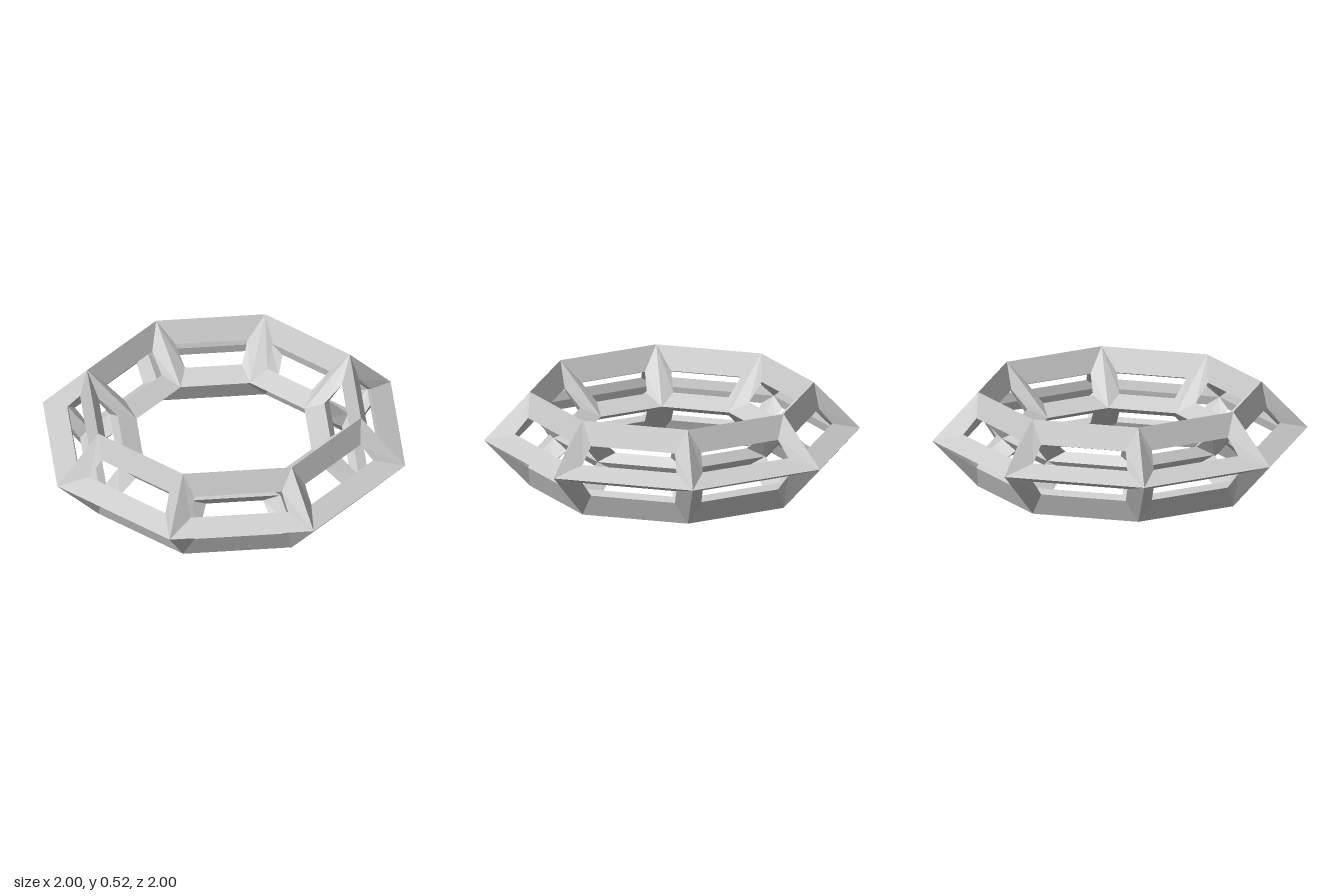
import * as THREE from 'three';

const SIDES = 8;      // corners around the ring
const MID = 0.26;     // height of the middle plane
const HALF = 0.07;    // half width of a rib at the openings

// Tube corners in order: outer, top, inner, bottom, as [radius, height from the middle]
const OUTER = [[1, 0], [0.755, 0.26], [0.482, 0], [0.755, -0.26]];
const CORE = [[0.86, 0], [0.745, 0.12], [0.63, 0], [0.745, -0.12]];
// Start and end of the opening on each of the four tube sides
const OPENING = [
  [[0.843, 0.05], [0.773, 0.137]],
  [[0.67, 0.137], [0.565, 0.05]],
  [[0.565, -0.05], [0.67, -0.137]],
  [[0.773, -0.137], [0.843, -0.05]],
];

// Point at ring corner i, shifted sideways by t
function point(i, [r, y], t = 0) {
  const a = (i / SIDES) * Math.PI * 2;
  const s = Math.sin(a), c = Math.cos(a);
  return [r * s + t * c, y + MID, r * c - t * s];
}

function addQuad(list, a, b, c, d) {
  list.push(...a, ...b, ...c, ...a, ...c, ...d);
}

export function createModel() {
  const group = new THREE.Group();
  const material = new THREE.MeshStandardMaterial({ color: 0xcccccc, flatShading: true });
  const rings = [[], [], [], []];
  const ribs = Array.from({ length: SIDES }, () => []);

  for (let i = 0; i < SIDES; i++) {
    for (let j = 0; j < 4; j++) {
      const k = (j + 1) % 4;
      const corners = [[i, j], [i + 1, j], [i + 1, k], [i, k]];
      const outer = corners.map(([n, m]) => point(n, OUTER[m]));
      const core = corners.map(([n, m]) => point(n, CORE[m]));
      const hole = corners.map(([n], q) =>
        point(n, OPENING[j][q < 2 ? 0 : 1], n === i ? HALF : -HALF));
      // The four beams that border this opening
      const beams = [rings[j], ribs[(i + 1) % SIDES], rings[k], ribs[i]];
      beams.forEach((beam, q) => {
        const n = (q + 1) % 4;
        addQuad(beam, outer[q], outer[n], hole[n], hole[q]);
        addQuad(beam, hole[q], hole[n], core[n], core[q]);
      });
    }
  }

  function addMesh(name, positions) {
    const geometry = new THREE.BufferGeometry();
    geometry.setAttribute('position', new THREE.Float32BufferAttribute(positions, 3));
    geometry.computeVertexNormals();
    const mesh = new THREE.Mesh(geometry, material);
    mesh.name = name;
    group.add(mesh);
  }

  // Four octagonal hoops and the diamond ribs joining them
  ['outerRing', 'topRing', 'innerRing', 'bottomRing'].forEach((name, j) => addMesh(name, rings[j]));
  ribs.forEach((rib, i) => addMesh('rib' + (i + 1), rib));

  group.name = 'openFrameRing';
  return group;
}
